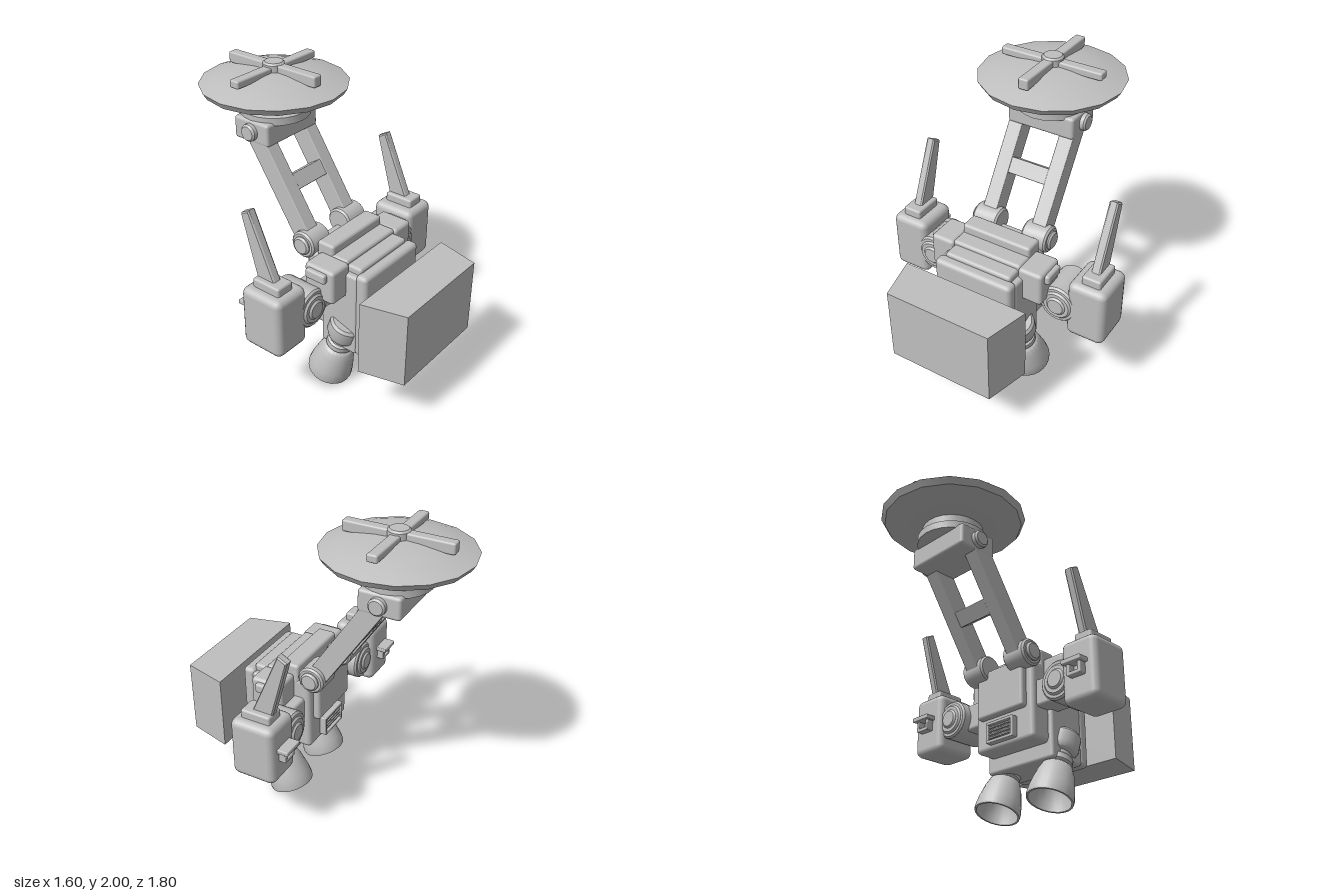
import * as THREE from 'three';
import { RoundedBoxGeometry } from 'three/addons/geometries/RoundedBoxGeometry.js';
import { toCreasedNormals } from 'three/addons/utils/BufferGeometryUtils.js';

export function createModel() {
  const model = new THREE.Group();
  model.name = 'dishPack';
  const grey = new THREE.MeshStandardMaterial({ color: 0xbfbfbf });
  grey.name = 'grey';

  function add(name, geometry, parent = model) {
    const mesh = new THREE.Mesh(geometry, grey);
    mesh.name = name;
    parent.add(mesh);
    return mesh;
  }
  // Bevelled box given by its limits on each axis
  function box(name, [x0, x1], [y0, y1], [z0, z1], bevel = 0.02, parent = model) {
    const mesh = add(name, new RoundedBoxGeometry(x1 - x0, y1 - y0, z1 - z0, 2, bevel), parent);
    mesh.position.set((x0 + x1) / 2, (y0 + y1) / 2, (z0 + z1) / 2);
    return mesh;
  }
  // Turned part from [radius, height] pairs, listed from bottom to top
  function turned(name, profile, sides = 24, parent = model) {
    const points = profile.map(([r, y]) => new THREE.Vector2(r, y));
    return add(name, toCreasedNormals(new THREE.LatheGeometry(points, sides), 0.6), parent);
  }
  // Drum with softened rims, centred on its own axis
  function drum(name, radius, length, parent) {
    const h = length / 2, b = 0.012;
    return turned(name, [[0, -h], [radius - b, -h], [radius, b - h], [radius, h - b], [radius - b, h], [0, h]], 24, parent);
  }

  // Torso, stepped towards the front
  box('torsoCore', [-0.25, 0.25], [0.41, 0.93], [0.04, 0.3], 0.03);
  box('torso', [-0.28, 0.28], [0.31, 0.9], [0.18, 0.46], 0.02);
  box('collarTop', [-0.25, 0.25], [0.85, 1.03], [0.12, 0.25], 0.02);
  box('collarMiddle', [-0.25, 0.25], [0.85, 0.97], [0.22, 0.36], 0.02);
  box('collarFront', [-0.24, 0.24], [0.85, 0.945], [0.34, 0.46], 0.02);
  box('chestPlate', [-0.28, 0.28], [0.31, 0.92], [0.44, 0.527], 0.03);

  // Floating front block, narrower at the front
  const outline = new THREE.Shape([[-0.44, 0.6], [0.44, 0.6], [0.365, 0.895], [-0.365, 0.895]]
    .map(([x, z]) => new THREE.Vector2(x, z)));
  const block = new THREE.ExtrudeGeometry(outline, { depth: 0.51, bevelEnabled: false });
  block.rotateX(Math.PI / 2);
  add('frontBlock', block).position.y = 0.87;

  // Back panel and slatted vent
  box('backPanel', [-0.2, 0.2], [0.62, 0.94], [-0.005, 0.1], 0.02);
  box('ventBacking', [-0.1, 0.1], [0.45, 0.57], [0.02, 0.1], 0.01);
  for (const y of [0.452, 0.572]) box('ventRail', [-0.115, 0.115], [y - 0.01, y + 0.01], [-0.005, 0.07], 0.006);
  for (const x of [-0.107, 0.107]) box('ventPost', [x - 0.01, x + 0.01], [0.445, 0.58], [-0.005, 0.07], 0.006);
  for (let i = 0; i < 4; i++) {
    const y = 0.478 + i * 0.023;
    box('ventSlat', [-0.1, 0.1], [y - 0.006, y + 0.006], [0.005, 0.04], 0.004);
  }

  // Leaning support frame
  const frame = new THREE.Group();
  frame.name = 'supportFrame';
  frame.position.set(0, 0.96, 0.01);
  frame.rotation.x = -0.58;
  model.add(frame);
  box('crossbar', [-0.15, 0.15], [0.32, 0.426], [-0.06, 0.06], 0.006, frame);

  for (const s of [-1, 1]) {
    const span = (a, b) => (s > 0 ? [a, b] : [-b, -a]);
    const side = s > 0 ? 'left' : 'right';
    const part = (name, x, y, z, bevel) => box(side + name, span(...x), y, z, bevel);

    // Support arm and its lower and upper pivots
    box(side + 'SupportArm', span(0.135, 0.235), [0, 0.77], [-0.066, 0.066], 0.006, frame);
    const hinge = drum(side + 'LowerPivot', 0.09, 0.18);
    hinge.rotation.z = Math.PI / 2;
    hinge.position.set(s * 0.185, 0.965, 0.02);
    const hingeCap = drum(side + 'LowerPivotCap', 0.062, 0.05);
    hingeCap.rotation.z = Math.PI / 2;
    hingeCap.position.set(s * 0.27, 0.965, 0.02);
    const bolt = drum(side + 'UpperPivot', 0.057, 0.08);
    bolt.rotation.z = Math.PI / 2;
    bolt.position.set(s * 0.235, 1.605, -0.42);

    // Shoulder
    part('Shoulder', [0.24, 0.41], [0.73, 0.965], [0.15, 0.375], 0.025);
    part('ShoulderBand', [0.25, 0.44], [0.88, 0.945], [0.18, 0.33], 0.015);
    part('ShoulderLink', [0.22, 0.42], [0.62, 0.8], [0.08, 0.26], 0.02);

    // Round joint between shoulder and pod
    const joint = new THREE.Group();
    joint.name = side + 'Joint';
    joint.position.set(s * 0.475, 0.71, 0.15);
    joint.rotation.x = Math.PI / 2;
    model.add(joint);
    drum('jointDrum', 0.13, 0.27, joint);
    drum('jointRim', 0.1, 0.295, joint);
    drum('jointHub', 0.065, 0.32, joint);

    // Side pod with plinth, fin and rear bracket
    part('Pod', [0.537, 0.8], [0.505, 0.915], [-0.02, 0.285], 0.045);
    part('Plinth', [0.61, 0.74], [0.88, 0.97], [0.03, 0.235], 0.015);
    const finShape = new THREE.Shape([[0.18, 0.93], [0.05, 0.93], [-0.07, 1.355], [-0.02, 1.382]]
      .map(([z, y]) => new THREE.Vector2(z, y)));
    const fin = new THREE.ExtrudeGeometry(finShape, {
      depth: 0.04, bevelThickness: 0.01, bevelSize: 0.008, bevelSegments: 1,
    });
    fin.translate(0, 0, -0.02);
    fin.rotateY(-Math.PI / 2);
    add(side + 'Fin', fin).position.x = s * 0.672;
    part('BracketTop', [0.6, 0.745], [0.73, 0.76], [-0.093, 0], 0.006);
    part('BracketBottom', [0.62, 0.725], [0.658, 0.682], [-0.068, 0], 0.006);
    for (const x of [0.63, 0.715]) part('BracketPost', [x - 0.012, x + 0.012], [0.66, 0.74], [-0.068, 0], 0.006);

    // Hollow thruster bell with collar and mount
    const thruster = turned(side + 'Thruster', [
      [0, 0.2], [0.07, 0.2], [0.105, 0.14], [0.13, 0.05], [0.135, 0],
      [0.147, 0], [0.15, 0.02], [0.142, 0.08], [0.12, 0.18], [0.1, 0.235], [0.08, 0.25],
      [0.092, 0.262], [0.092, 0.298], [0.078, 0.31], [0.078, 0.33],
      [0.1, 0.345], [0.114, 0.38], [0.114, 0.46], [0.1, 0.48], [0, 0.48],
    ]);
    thruster.position.set(s * 0.225, 0.05, 0.205);
    thruster.rotation.x = 0.325;
  }

  // Head block and dish
  box('headBlock', [-0.237, 0.237], [1.53, 1.68], [-0.562, -0.28], 0.02);
  const dish = new THREE.Group();
  dish.name = 'dishAssembly';
  dish.position.z = -0.427;
  model.add(dish);
  turned('dishNeck', [[0, 1.662], [0.228, 1.662], [0.228, 1.712], [0.2, 1.72], [0.2, 1.775], [0.225, 1.79], [0, 1.79]], 24, dish);
  turned('dish', [
    [0, 1.775], [0.22, 1.775], [0.45, 1.828], [0.475, 1.868],
    [0.38, 1.9], [0.28, 1.925], [0.15, 1.942], [0, 1.948],
  ], 16, dish);

  // Cross blades on the dish
  box('crossBladeWide', [-0.357, 0.357], [1.925, 1.976], [-0.035, 0.035], 0.012, dish);
  box('crossBladeLong', [-0.035, 0.035], [1.915, 1.988], [-0.357, 0.357], 0.012, dish);
  drum('dishHub', 0.07, 0.09, dish).position.y = 1.955;

  return model;
}
